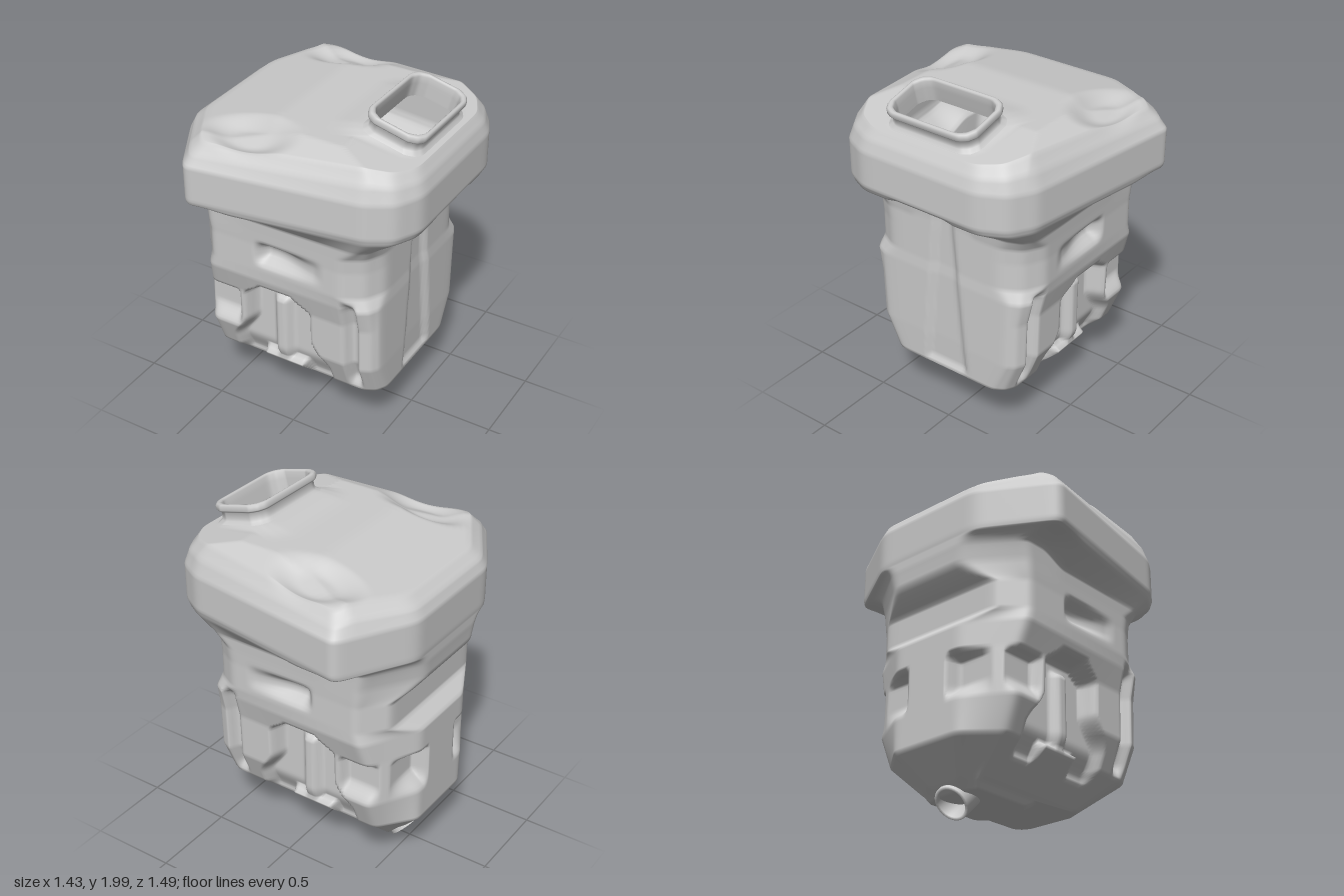
import * as THREE from 'three';

const material = new THREE.MeshStandardMaterial({ color: 0xcccccc, side: THREE.DoubleSide });
const { lerp, smoothstep, clamp } = THREE.MathUtils;

// 1 inside the range a..b, fading to 0 over s on each edge
const band = (v, a, b, s) => smoothstep(v, a - s, a + s) * (1 - smoothstep(v, b - s, b + s));

// Cross-sections: y, then x,z of the four corners on the +z half,
// from the left end (A, B) to the right end (C, D)
const sections = [
  [0.11, -0.49, 0.06, -0.46, 0.17, -0.12, 0.17, -0.06, 0.10],
  [0.15, -0.53, 0.09, -0.48, 0.20, -0.04, 0.20, 0.01, 0.12],
  [0.16, -0.54, 0.10, -0.48, 0.215, 0.25, 0.215, 0.31, 0.14],
  [0.34, -0.68, 0.22, -0.52, 0.415, 0.41, 0.415, 0.51, 0.32],
  [0.53, -0.68, 0.22, -0.53, 0.49, 0.42, 0.49, 0.515, 0.41],
  [0.80, -0.68, 0.22, -0.52, 0.497, 0.42, 0.497, 0.515, 0.42],
  [0.94, -0.68, 0.22, -0.50, 0.54, 0.42, 0.53, 0.515, 0.42],
  [1.01, -0.60, 0.39, -0.47, 0.54, 0.33, 0.54, 0.51, 0.36],
  [1.17, -0.60, 0.39, -0.47, 0.54, 0.33, 0.54, 0.51, 0.36],
  [1.26, -0.70, 0.24, -0.49, 0.545, 0.34, 0.545, 0.51, 0.37],
  [1.33, -0.71, 0.26, -0.52, 0.55, 0.42, 0.55, 0.52, 0.41],
  [1.43, -0.71, 0.34, -0.48, 0.74, 0.50, 0.59, 0.69, 0.38],
  [1.47, -0.713, 0.34, -0.48, 0.75, 0.50, 0.605, 0.713, 0.37],
  [1.67, -0.713, 0.34, -0.48, 0.75, 0.50, 0.605, 0.713, 0.37],
  [1.74, -0.685, 0.33, -0.46, 0.71, 0.49, 0.575, 0.69, 0.355],
  [1.79, -0.62, 0.31, -0.42, 0.65, 0.46, 0.53, 0.655, 0.33],
];

// Closed outline through the corners; the right corners (and the left ones,
// by leftBulge) swell outwards, and all are rounded by averaging
function outline([, ax, az, bx, bz, cx, cz, dx, dz], leftBulge = 0) {
  const middle = (ex, ez, sx, sz, f) => [lerp((ex + sx) / 2, ex, f), lerp((ez + sz) / 2, sz, f)];
  const half = [[dx, dz], middle(dx, dz, cx, cz, 0.3), [cx, cz],
    [bx, bz], middle(ax, az, bx, bz, leftBulge), [ax, az]];
  const corners = [...half, ...half.map(([x, z]) => [x, -z]).reverse()];
  const counts = [12, 12, 80, 12, 12, 40];
  let points = [];
  corners.forEach((p, i) => {
    const q = corners[(i + 1) % 12], count = counts[i % 6];
    for (let k = 0; k < count; k++) points.push([lerp(p[0], q[0], k / count), lerp(p[1], q[1], k / count)]);
  });
  const n = points.length;
  for (let pass = 0; pass < 2; pass++) {
    points = points.map((_, i) => {
      let x = 0, z = 0;
      for (let k = -2; k <= 2; k++) {
        const p = points[(i + k + n) % n];
        x += p[0] / 5;
        z += p[1] / 5;
      }
      return [x, z];
    });
  }
  return points;
}

// Recesses moulded into the lower body
function carve(x, y, z) {
  let d = Math.abs(z);
  // arched bay on both broad sides, with a post and a foot block inside
  const flare = 0.10 * (1 - smoothstep(y, 0.42, 0.62));
  const arch = 0.10 * smoothstep(y, 0.78, 0.88);
  const bay = band(x, -0.29 - flare + arch, 0.10 + flare - arch, 0.025) * band(y, 0.27, 0.87, 0.025);
  const post = band(x, -0.15, -0.06, 0.025) * band(y, 0.3, 0.79, 0.02);
  const foot = band(x, -0.24, 0.03, 0.015) * band(y, 0.1, 0.37, 0.02);
  const floor = lerp(0.32, 0.39, smoothstep(y, 0.26, 0.45));
  d -= bay * Math.max(0, d - floor - Math.max(0.05 * post, 0.07 * foot));
  // finger slot, deepest at its left end
  d -= 0.07 * band(x, -0.17, 0.2, 0.04) * band(y, 1.07, 1.17, 0.035) * (1 - 0.8 * smoothstep(x, -0.1, 0.22));
  // upright slot near the right end
  d -= 0.06 * band(x, 0.34, 0.405, 0.02) * band(y, 0.38, 0.95, 0.05);
  // pockets wrapping the left corners
  if (x < -0.3) {
    const pocket = band(y, 0.58, 0.78, 0.015 + 0.04 * (1 - smoothstep(y, 0.6, 0.75)));
    const wrap = pocket * smoothstep(Math.abs(z), 0.13, 0.17);
    d -= wrap * (1 - smoothstep(x, -0.37, -0.33)) * Math.max(0, d - 0.43);
    x += wrap * Math.max(0, -0.59 - x);
  }
  // channel widening downwards on the right end
  const w = lerp(0.14, 0.045, clamp((y - 0.3) / 1.1, 0, 1));
  if (x > 0.45) x -= 0.025 * (1 - smoothstep(d, w - 0.02, w + 0.02)) * band(y, 0.36, 1.38, 0.03);
  // underside of the head rises at the left and over the channel
  const rise = Math.max(1 - smoothstep(x, -0.4, -0.2), smoothstep(x, 0.42, 0.5) * (1 - smoothstep(d, 0.14, 0.23)));
  y += 0.06 * rise * smoothstep(y, 1.2, 1.33) * (1 - smoothstep(y, 1.34, 1.47));
  return [x, y, Math.sign(z) * d];
}

// Sloping roof with a dent on each side
function roof(x, z) {
  const d = Math.abs(z);
  const y = Math.min(1.87, 1.87 + (x + 0.15) * 0.19, 1.87 - (x - 0.3) * 0.2, 1.87 - (d - 0.45) * 0.4);
  const dent = smoothstep(1 - Math.hypot((x + 0.22) / 0.3, (d - 0.5) / 0.17), 0, 0.7);
  return y - 0.06 * dent;
}

// Surface through a stack of rings, optionally closed below
function skin(name, rings, closeBottom) {
  const n = rings[0].length, position = rings.flat(2), index = [];
  for (let i = 0; i < rings.length - 1; i++) {
    for (let j = 0; j < n; j++) {
      const a = i * n + j, b = i * n + (j + 1) % n;
      index.push(a, a + n, b, b, a + n, b + n);
    }
  }
  if (closeBottom) {
    const c = position.length / 3;
    position.push(-0.27, rings[0][0][1], 0);
    for (let j = 0; j < n; j++) index.push(c, j, (j + 1) % n);
  }
  const geometry = new THREE.BufferGeometry();
  geometry.setAttribute('position', new THREE.Float32BufferAttribute(position, 3));
  geometry.setIndex(index);
  geometry.computeVertexNormals();
  const mesh = new THREE.Mesh(geometry, material);
  mesh.name = name;
  return mesh;
}

// Ring of the tilted filler neck: outward offset o, height h along its axis
function neckRing(o, h) {
  const tilt = 0.245, c = Math.cos(tilt), s = Math.sin(tilt);
  const x = 0.172 + o, z = 0.287 + o, k = 0.07;
  return outline([0, -x, z - k, -x + k, z, x - k, z, x, z - k], 0.3)
    .map(([u, v]) => [0.452 + u * c + h * s, 1.848 - u * s + h * c, v]);
}

export function createModel() {
  const group = new THREE.Group();

  // Tank walls and overhanging head, whose shoulder rises to the roof line
  const rings = [];
  sections.forEach((row, i) => {
    const next = sections[i + 1];
    const steps = next ? Math.ceil((next[0] - row[0]) / 0.016) : 1;
    for (let k = 0; k < steps; k++) {
      const r = next ? row.map((v, m) => lerp(v, next[m], k / steps)) : row;
      const t = clamp((r[0] - 1.67) / 0.12, 0, 1);
      rings.push(outline(r).map(([x, z]) => (t > 0 ? [x, lerp(1.67, roof(x, z), t), z] : carve(x, r[0], z))));
    }
  });

  // Roof, running in from the shoulder to the neck opening
  const edge = rings[rings.length - 1], base = neckRing(0.005, 0);
  for (let k = 1; k <= 24; k++) {
    const t = k / 24;
    rings.push(edge.map((p, j) => {
      const x = lerp(p[0], base[j][0], t), z = lerp(p[2], base[j][2], t);
      return [x, lerp(roof(x, z), base[j][1], smoothstep(t, 0.8, 1)), z];
    }));
  }
  group.add(skin('tank', rings, true));

  // Filler neck with a rolled lip, open inside
  const profile = [[0.005, 0], [-0.012, 0.015], [-0.016, 0.03], [-0.016, 0.062], [-0.004, 0.07], [0, 0.078],
    [0, 0.098], [-0.006, 0.108], [-0.014, 0.11], [-0.022, 0.108], [-0.028, 0.098], [-0.03, 0.06], [-0.03, -0.02]];
  group.add(skin('fillerNeck', profile.map(([o, h]) => neckRing(o, h)), false));

  // Slanted drain spout under the left end
  const spoutProfile = [[0.098, -0.2], [0.098, 0], [0.08, 0], [0.08, -0.12], [0, -0.12]];
  const spout = new THREE.Mesh(
    new THREE.LatheGeometry(spoutProfile.map(([r, y]) => new THREE.Vector2(r, y)), 32), material);
  spout.name = 'drainSpout';
  spout.position.set(-0.475, 0.07, 0);
  spout.rotation.z = Math.PI * 0.75;
  group.add(spout);

  return group;
}
